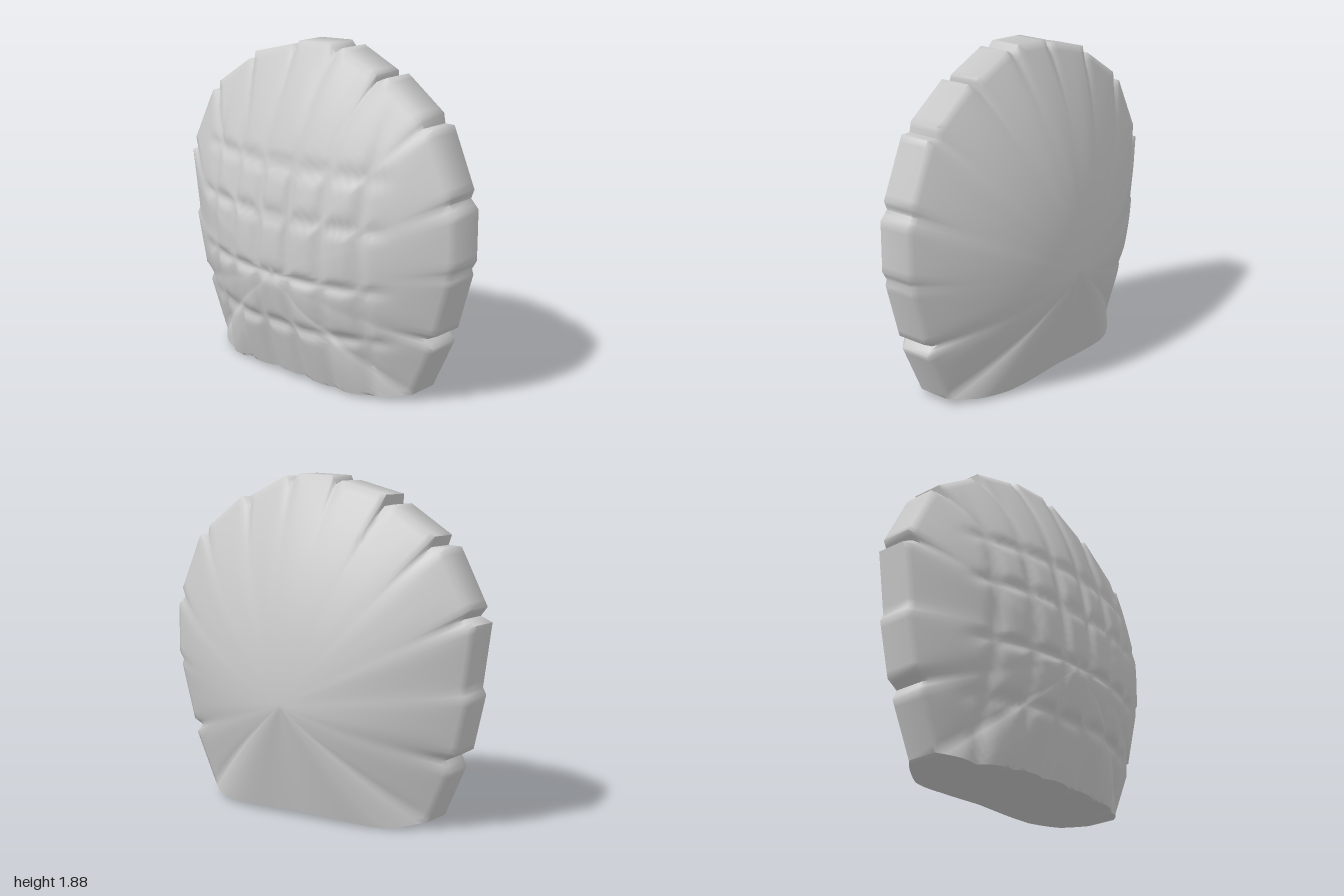
import * as THREE from 'three';
import { toCreasedNormals } from 'three/addons/utils/BufferGeometryUtils.js';

// Scalloped outline, clockwise from the lower left corner
const OUTLINE = [
  [-0.73, 0.04], [-0.86, 0.33], [-0.83, 0.39], [-0.9, 0.43], [-0.97, 0.73], [-0.95, 0.77],
  [-1, 1.12], [-0.93, 1.15], [-0.97, 1.2], [-0.81, 1.51], [-0.73, 1.515], [-0.75, 1.57],
  [-0.5, 1.73], [-0.44, 1.72], [-0.45, 1.78], [-0.17, 1.85], [-0.13, 1.83], [-0.11, 1.875],
  [0.12, 1.885], [0.16, 1.84], [0.21, 1.87], [0.45, 1.76], [0.45, 1.72], [0.52, 1.75],
  [0.76, 1.575], [0.77, 1.52], [0.83, 1.52], [0.97, 1.2], [0.95, 1.15], [1, 1.1], [1, 0.82],
  [0.97, 0.77], [0.98, 0.74], [0.89, 0.42], [0.83, 0.39], [0.87, 0.34], [0.73, 0.04],
  [0.6, 0.02], [0.4, 0.015], [0, 0.03], [-0.3, 0.02], [-0.55, 0],
];
const CY = 0.65;    // height of the thickest point
const RINGS = 30;
const ROW_SEAMS = [0.35, 0.65, 0.98, 1.25];
const COLUMN_SEAMS = [-0.55, -0.33, -0.11, 0.11, 0.33, 0.55];

// Outline resampled counter-clockwise, with a notch-free radius beside the true one
function makeRim() {
  const pts = OUTLINE.slice().reverse();
  const rim = [];
  pts.forEach((a, i) => {
    const b = pts[(i + 1) % pts.length];
    const n = Math.ceil(Math.hypot(b[0] - a[0], b[1] - a[1]) / 0.04);
    for (let k = 0; k < n; k++) {
      const x = a[0] + (b[0] - a[0]) * k / n, y = a[1] + (b[1] - a[1]) * k / n;
      rim.push({ x, y, r: Math.hypot(x, y - CY), a: Math.atan2(y - CY, x) });
    }
  });
  for (const p of rim) {
    let sum = 0, weight = 0;
    for (const q of rim) {
      const d = Math.atan2(Math.sin(q.a - p.a), Math.cos(q.a - p.a));
      const w = Math.exp(-((d / 0.07) ** 2));
      sum += q.r * w;
      weight += w;
    }
    p.smooth = sum / weight;
    // The standing edge is wide in the middle and narrows towards the corners
    p.base = p.y < 0.2 ? Math.max(0, 1 - (p.x / 0.73) ** 4) : 0;
    p.down = Math.max(0, -Math.sin(p.a)) ** 2;
  }
  return rim;
}

// Depth of the quilted seams on the front
function seamDepth(x, y, t) {
  const nearest = (list, v) => Math.min(...list.map((s) => Math.abs(s - v)));
  const groove = (d) => Math.exp(-((d / 0.035) ** 2));
  const spread = 1 + 0.25 * Math.max(0, y - 1.2);
  const upper = THREE.MathUtils.smoothstep(y, 1.15, 1.45);
  const side = 1 - THREE.MathUtils.smoothstep(Math.abs(x), 0.55, 0.75);
  const edge = 1 - THREE.MathUtils.smoothstep(t, 0.85, 1);
  const columns = groove(nearest(COLUMN_SEAMS, x / spread)) * (1 - 0.65 * upper);
  const rows = groove(nearest(ROW_SEAMS, y));
  return 0.024 * side * Math.max(columns, rows) * (y < 0.4 ? 1 : edge);
}

function makeBody() {
  const rim = makeRim(), n = rim.length;
  const position = [], index = [];

  // Rings run from the front centre out to the rim, then back in to the rear centre
  const addRing = (t, front) => {
    for (const p of rim) {
      const r = p.smooth * t + (p.r - p.smooth) * t ** 9;
      const x = r * Math.cos(p.a), y = CY + r * Math.sin(p.a);
      const edge = front ? 0.08 + 0.2 * p.base : 0.1 + 0.19 * p.base;
      const peak = front ? 0.44 : 0.45;
      const power = (front ? 2.2 : 2.05) - 0.95 * p.down;
      const z = edge + (peak - edge) * (1 - t ** power);
      position.push(x, y, front ? z - seamDepth(x, y, t) : -z);
    }
  };
  for (let k = 0; k <= RINGS; k++) addRing(k / RINGS, true);
  for (let k = RINGS; k >= 0; k--) addRing(k / RINGS, false);

  const last = 2 * RINGS;
  for (let k = 0; k <= last; k++) {
    for (let i = 0; i < n; i++) {
      const j = (i + 1) % n;
      const a = k * n + i, b = a + n, c = (k + 1) * n + j, d = k * n + j;
      if (k < last) index.push(a, b, c);
      else index.push(a, b, d);
      if (k > 0 && k < last) index.push(a, c, d);
    }
  }
  const geometry = new THREE.BufferGeometry();
  geometry.setAttribute('position', new THREE.Float32BufferAttribute(position, 3));
  geometry.setIndex(index);
  return toCreasedNormals(geometry, 1.2);
}

export function createModel() {
  const model = new THREE.Group();
  model.name = 'quiltedShell';
  const body = new THREE.Mesh(makeBody(), new THREE.MeshStandardMaterial({ color: 0xcccccc }));
  body.name = 'shellBody';
  model.add(body);
  return model;
}
